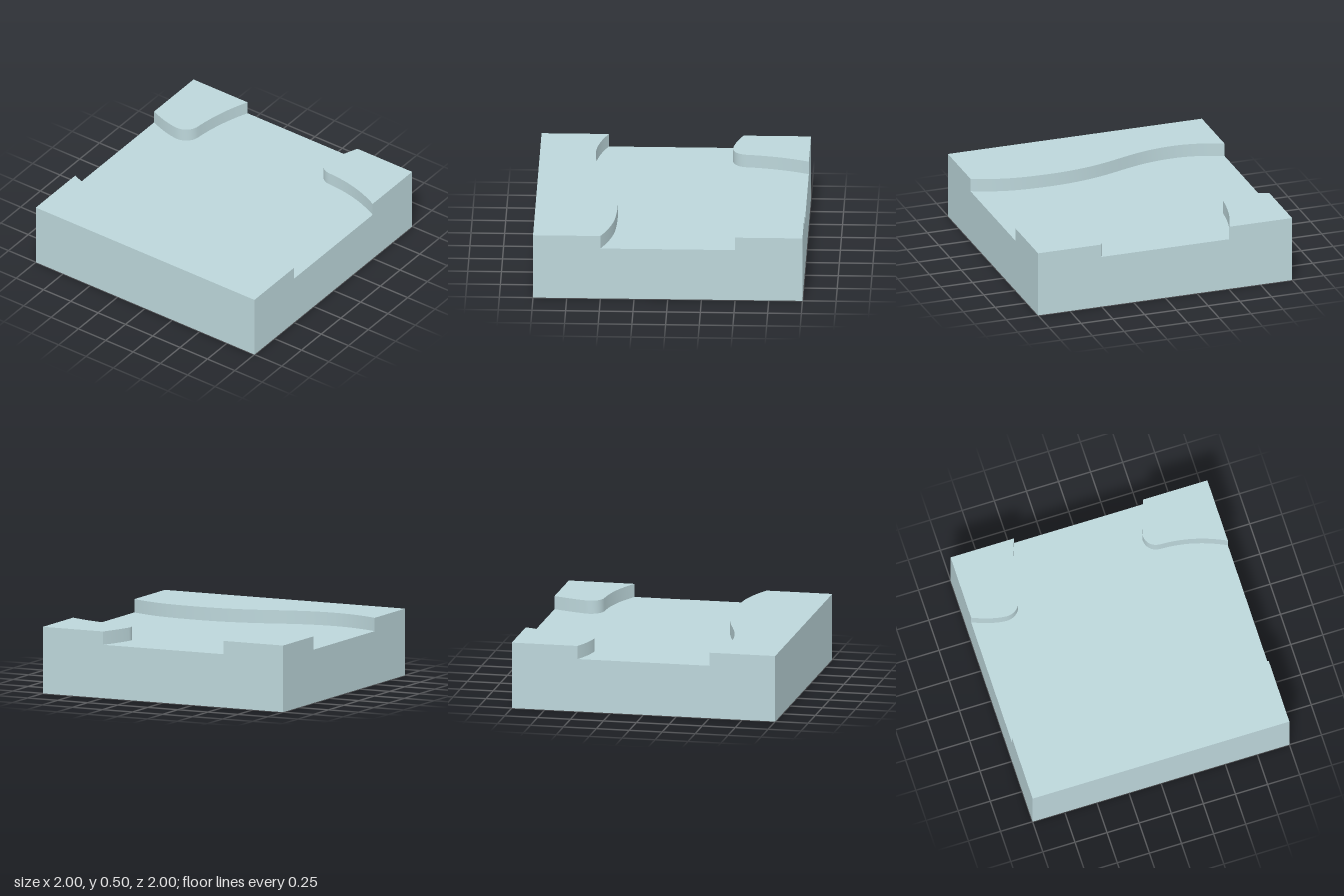
import * as THREE from 'three';
import { toCreasedNormals } from 'three/addons/utils/BufferGeometryUtils.js';

const BED = 0.4; // height of the channel floor
const TOP = 0.5; // height of the banks

// Each bank: start [x, z], bezier segments [c1x, c1z, c2x, c2z, x, z], then outer corners [x, z].
const BANKS = {
  rightBank: {
    start: [-0.5, -1],
    curves: [
      [-0.56, -0.86, -0.585, -0.74, -0.585, -0.62],
      [-0.585, -0.45, -0.545, -0.32, -0.505, -0.2],
      [-0.455, -0.06, -0.39, 0.13, -0.39, 0.4],
      [-0.39, 0.5, -0.395, 0.6, -0.405, 0.68],
      [-0.42, 0.79, -0.455, 0.9, -0.5, 1],
    ],
    corners: [[-1, 1], [-1, -1]],
  },
  backLeftBank: {
    start: [0.5, -1],
    curves: [
      [0.465, -0.92, 0.435, -0.83, 0.43, -0.745],
      [0.43, -0.68, 0.47, -0.635, 0.53, -0.625],
      [0.69, -0.61, 0.85, -0.57, 1, -0.505],
    ],
    corners: [[1, -1]],
  },
  frontLeftBank: {
    start: [1, 0.5],
    curves: [
      [0.92, 0.465, 0.82, 0.43, 0.73, 0.41],
      [0.67, 0.41, 0.63, 0.45, 0.625, 0.51],
      [0.62, 0.69, 0.58, 0.84, 0.5, 1],
    ],
    corners: [[1, 1]],
  },
};

function bankGeometry({ start, curves, corners }) {
  // The shape lies in x and -z, so that turning it flat restores z.
  const shape = new THREE.Shape();
  shape.moveTo(start[0], -start[1]);
  for (const [ax, az, bx, bz, x, z] of curves) shape.bezierCurveTo(ax, -az, bx, -bz, x, -z);
  for (const [x, z] of corners) shape.lineTo(x, -z);
  shape.closePath();
  const geometry = new THREE.ExtrudeGeometry(shape, {
    depth: TOP - BED, bevelEnabled: false, curveSegments: 14,
  });
  geometry.rotateX(-Math.PI / 2);
  geometry.translate(0, BED, 0);
  return toCreasedNormals(geometry, 0.5);
}

export function createModel() {
  const group = new THREE.Group();
  group.name = 'riverTile';
  const material = new THREE.MeshStandardMaterial({ color: 0xbcd6da });

  // Square slab whose top is the channel floor
  const slab = new THREE.Mesh(new THREE.BoxGeometry(2, BED, 2), material);
  slab.name = 'baseSlab';
  slab.position.y = BED / 2;
  group.add(slab);

  // Raised banks around the forked channel
  for (const [name, outline] of Object.entries(BANKS)) {
    const bank = new THREE.Mesh(bankGeometry(outline), material);
    bank.name = name;
    group.add(bank);
  }
  return group;
}
